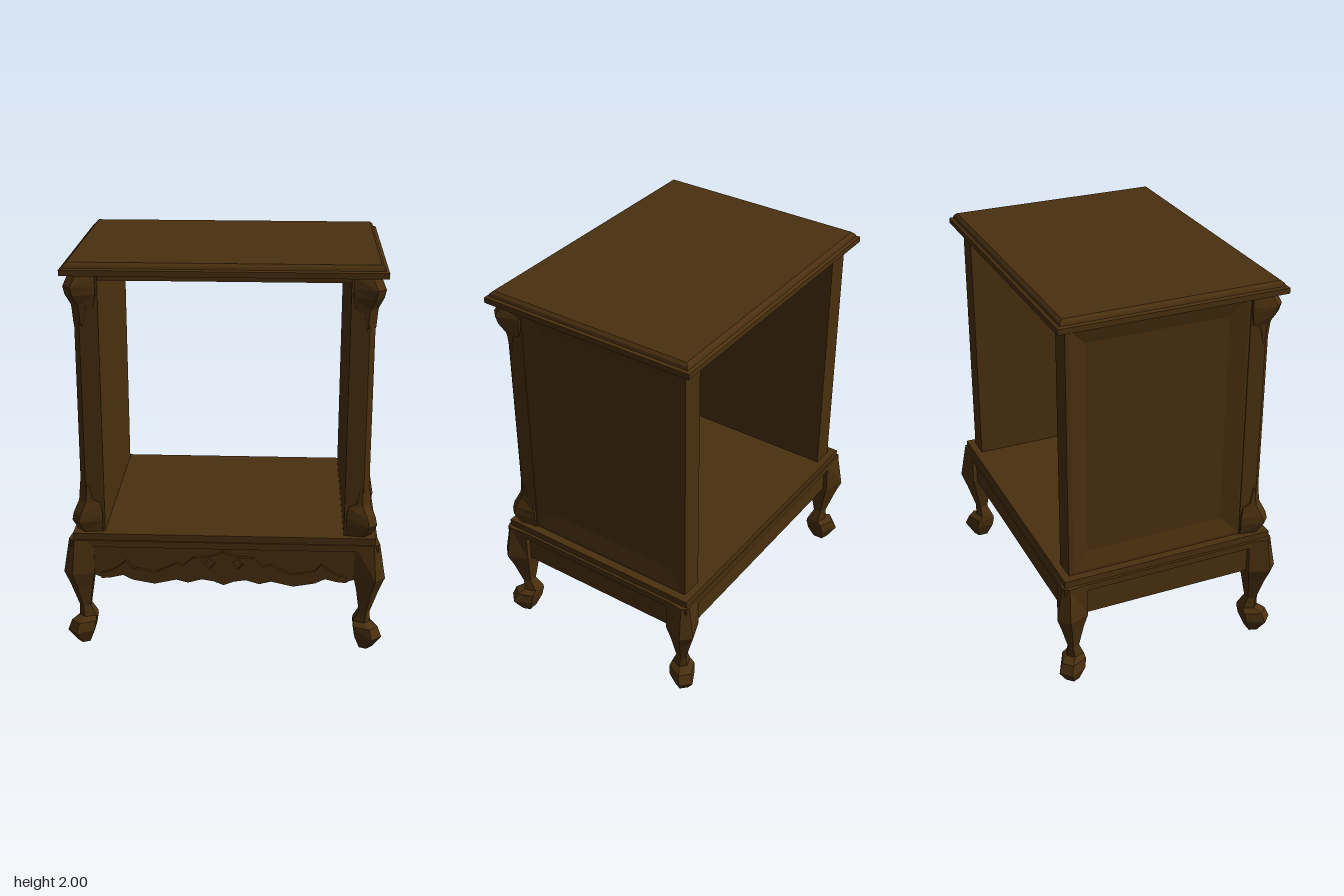
import * as THREE from 'three';

const wood = new THREE.MeshStandardMaterial({ color: 0x4a300f });
wood.name = 'darkWood';

// Joins closed cross-sections into a capped, flat-faced solid; sx and sz mirror it.
function loft(rings, sx = 1, sz = 1) {
  const pos = [];
  const tri = (a, b, c) => {
    for (const p of sx * sz < 0 ? [a, c, b] : [a, b, c]) pos.push(p[0] * sx, p[1], p[2] * sz);
  };
  const n = rings[0].length;
  for (let r = 0; r < rings.length - 1; r++) {
    for (let i = 0; i < n; i++) {
      const j = (i + 1) % n;
      const a = rings[r][i], b = rings[r][j], c = rings[r + 1][j], d = rings[r + 1][i];
      tri(a, d, c);
      tri(a, c, b);
    }
  }
  const first = rings[0], last = rings[rings.length - 1];
  for (let i = 1; i < n - 1; i++) {
    tri(first[0], first[i], first[i + 1]);
    tri(last[0], last[i + 1], last[i]);
  }
  const g = new THREE.BufferGeometry();
  g.setAttribute('position', new THREE.Float32BufferAttribute(pos, 3));
  g.computeVertexNormals();
  return g;
}

// Horizontal rectangle ring centred on the origin
const slabRing = ([y, x, z]) => [[-x, y, -z], [x, y, -z], [x, y, z], [-x, y, z]];

// Upright rectangle ring facing sideways
const wallRing = (x, z0, z1, y0, y1) => [[x, y0, z0], [x, y0, z1], [x, y1, z1], [x, y1, z0]];

// Cabriole leg section: inner edge, outer edge, corner chamfer, side taper
const Z_OFF = 0.205;
const legRing = ([y, lo, hi, c, t]) => [
  [lo, lo], [hi - t, lo], [hi, hi - c], [hi - c, hi], [lo, hi - t],
].map(([x, z]) => [x, y, z - Z_OFF]);

const LEG = [
  [0, 0.695, 0.762, 0.03, 0.015],
  [0.07, 0.668, 0.806, 0.05, 0.045],
  [0.12, 0.66, 0.787, 0.045, 0.035],
  [0.14, 0.662, 0.748, 0.03, 0.02],
  [0.2, 0.688, 0.745, 0.02, 0.015],
  [0.33, 0.67, 0.785, 0.04, 0.03],
  [0.405, 0.655, 0.812, 0.05, 0.04],
  [0.585, 0.655, 0.782, 0.03, 0.012],
];

// Carved corner bracket section wrapped round the post: width, bulge, edge relief
const bracketRing = ([y, w, p, q]) => [
  [-w, -w], [q, -w], [p, p - 0.04], [p - 0.04, p], [-w, q],
].map(([u, v]) => [0.72 + u, y, 0.524 + v]);

const BRACKET = [
  [0.62, 0.11, 0.018, 0.004],
  [0.68, 0.11, 0.044, 0.012],
  [0.72, 0.11, 0.036, 0.012],
  [0.775, 0.1, 0.012, 0.006],
  [0.79, 0.062, 0.01, 0.006],
  [0.87, 0.045, 0.004, 0.003],
  [0.88, 0.04, -0.006, 0.001],
];

// Half outlines of the front apron, from the centre outward
const APRON_BOTTOM = [
  [0, 0.355], [0.05, 0.375], [0.11, 0.385], [0.18, 0.365], [0.24, 0.38], [0.35, 0.355],
  [0.46, 0.375], [0.51, 0.4], [0.57, 0.385], [0.62, 0.38], [0.66, 0.395],
];
const CARVING_TOP = [
  [0.62, 0.41], [0.56, 0.425], [0.49, 0.48], [0.46, 0.44], [0.34, 0.42], [0.24, 0.47],
  [0.2, 0.46], [0.15, 0.505], [0.07, 0.51], [0, 0.535],
];
const mirrorX = (pts) => pts.map(([x, y]) => [-x, y]).reverse();
const toShape = (pts) => new THREE.Shape(pts.map(([x, y]) => new THREE.Vector2(x, y)));

export function createModel() {
  const model = new THREE.Group();
  const add = (name, geometry, parent = model) => {
    const mesh = new THREE.Mesh(geometry, wood);
    mesh.name = name;
    parent.add(mesh);
    return mesh;
  };
  const box = (name, w, h, d, x, y, z) =>
    add(name, new THREE.BoxGeometry(w, h, d)).position.set(x, y, z);

  // Moulded top board and the ceiling below it
  add('topBoard', loft([
    [1.94, 0.772, 0.58], [1.968, 0.772, 0.58], [1.974, 0.757, 0.565],
    [1.988, 0.752, 0.56], [2, 0.738, 0.546],
  ].map(slabRing)));
  box('ceiling', 1.22, 0.035, 1.03, 0, 1.9225, -0.005);

  // Base board and frame carried by the legs
  add('baseBoard', loft([[0.585, 0.758, 0.563], [0.62, 0.758, 0.563]].map(slabRing)));
  add('baseFrame', loft([[0.55, 0.772, 0.57], [0.585, 0.772, 0.57]].map(slabRing)));

  for (const sx of [1, -1]) {
    const side = sx > 0 ? 'left' : 'right';

    // Side wall with a bevelled sunk panel outside
    add(side + 'Wall', loft([
      wallRing(0.6, -0.525, 0.42, 0.62, 1.94),
      wallRing(0.715, -0.525, 0.42, 0.62, 1.94),
      wallRing(0.715, -0.5, 0.4, 0.635, 1.925),
      wallRing(0.692, -0.42, 0.31, 0.725, 1.84),
    ], sx));

    // Front post with a chamfered corner
    const post = [[0.6, 0.41], [0.72, 0.41], [0.72, 0.495], [0.692, 0.524], [0.6, 0.524]];
    add(side + 'Post', loft([0.62, 1.94].map((y) => post.map(([x, z]) => [x, y, z])), sx));

    // Carved brackets at the foot and head of the post
    const head = BRACKET.map(([y, ...r]) => [2.56 - y, ...r]).reverse();
    add(side + 'LowerBracket', loft(BRACKET.map(bracketRing), sx));
    add(side + 'UpperBracket', loft(head.map(bracketRing), sx));

    // Straight side apron
    box(side + 'Apron', 0.04, 0.15, 0.92, sx * 0.725, 0.475, 0);

    // Cabriole legs
    for (const sz of [1, -1]) {
      add(side + (sz > 0 ? 'FrontLeg' : 'BackLeg'), loft(LEG.map(legRing), sx, sz));
    }
  }

  // Straight back apron
  box('backApron', 1.33, 0.15, 0.04, 0, 0.475, -0.525);

  // Scalloped front apron
  const bottom = [...mirrorX(APRON_BOTTOM), ...APRON_BOTTOM.slice(1)];
  const apron = toShape([...bottom, [0.66, 0.55], [-0.66, 0.55]]);
  const apronGeo = new THREE.ExtrudeGeometry(apron, { depth: 0.04, bevelEnabled: false });
  add('frontApron', apronGeo.translate(0, 0, 0.522));

  // Raised carving with two pierced diamonds
  const inner = APRON_BOTTOM.slice(0, -1);
  const carving = toShape([
    ...mirrorX(inner), ...inner.slice(1), ...CARVING_TOP, ...mirrorX(CARVING_TOP).slice(1),
  ]);
  for (const x of [-0.07, 0.07]) {
    carving.holes.push(toShape([[x, 0.445], [x - 0.03, 0.472], [x, 0.5], [x + 0.03, 0.472]]));
  }
  const carvingGeo = new THREE.ExtrudeGeometry(carving, { depth: 0.014, bevelEnabled: false });
  add('frontCarving', carvingGeo.translate(0, 0, 0.562));

  return model;
}
